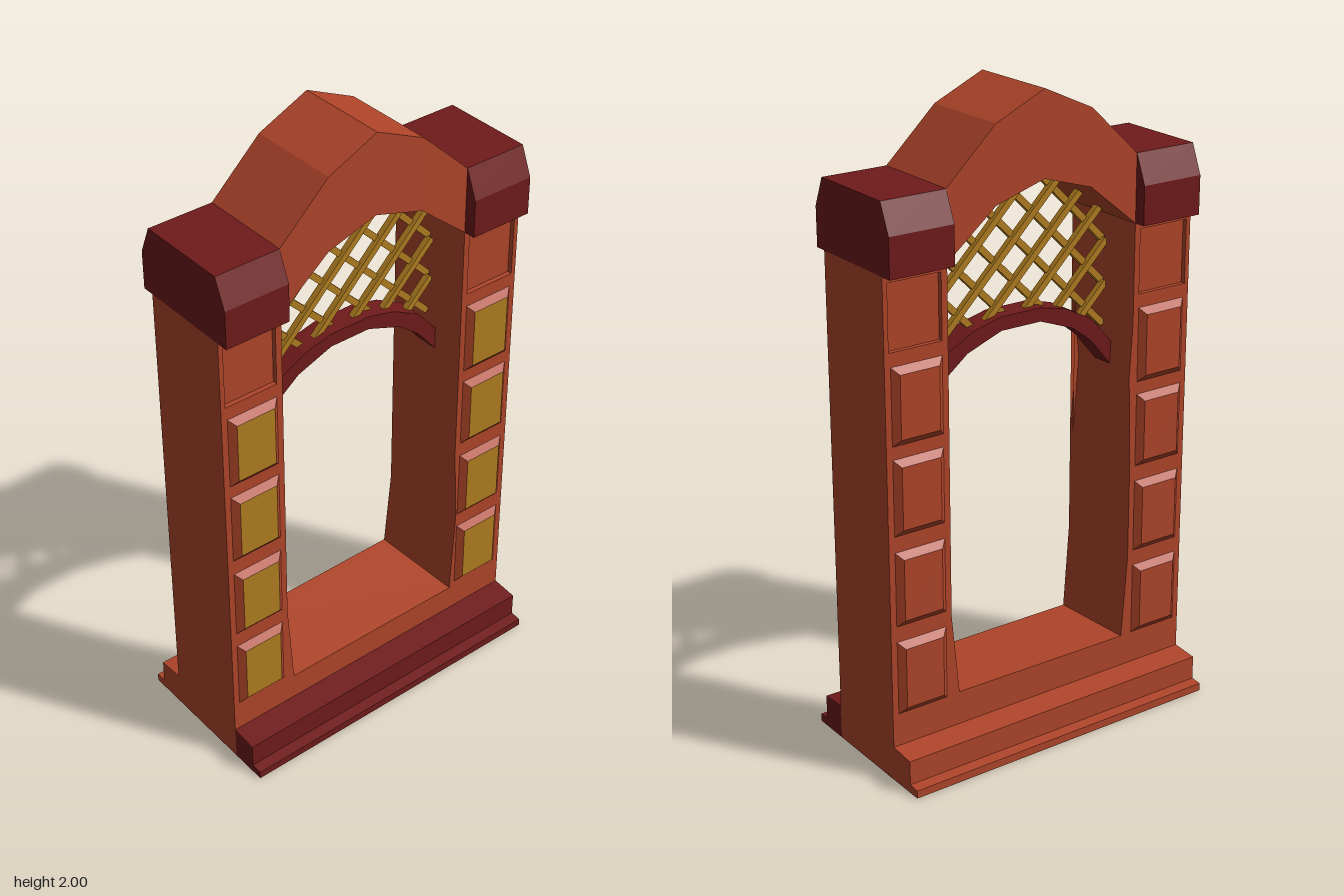
import * as THREE from 'three';

const mat = (color) => new THREE.MeshStandardMaterial({ color, flatShading: true });
const vecs = (pts) => pts.map(([x, y]) => new THREE.Vector2(x, y));

// Opening outline: x, y at the back, then x, y at the front (slightly uneven jambs)
const OPENING = [
  [-0.31, 0.215, -0.31, 0.2], [0.305, 0.22, 0.33, 0.2], [0.33, 0.48, 0.345, 0.5],
  [0.33, 0.75, 0.33, 0.75], [0.33, 1.56, 0.33, 1.56], [0.165, 1.695, 0.165, 1.695],
  [0, 1.745, 0, 1.745], [-0.165, 1.695, -0.165, 1.695], [-0.33, 1.56, -0.33, 1.56],
  [-0.33, 1.25, -0.33, 1.25], [-0.32, 1.08, -0.35, 1.06], [-0.33, 0.8, -0.33, 0.8],
  [-0.33, 0.48, -0.33, 0.48],
];
const OUTLINE = [
  [-0.54, 0], [0.54, 0], [0.54, 1.56], [0.34, 1.565], [0.33, 1.77], [0.165, 1.925],
  [0, 2], [-0.165, 1.925], [-0.33, 1.77], [-0.34, 1.565], [-0.54, 1.56],
];
// Half of the inner arch rib, from the crown outwards
const RIB_TOP = [[0.07, 1.323], [0.165, 1.3], [0.26, 1.25], [0.335, 1.165]];
const RIB_LOW = [[0.335, 1.09], [0.26, 1.18], [0.19, 1.235], [0.07, 1.28]];

// One slice of the frame between two depths
function frameSlice(z0, z1, recessed) {
  const shape = new THREE.Shape(vecs(OUTLINE));
  shape.holes.push(new THREE.Path(vecs(OPENING)));
  if (recessed) {
    for (const s of [-1, 1]) {
      const a = 0.35 * s, b = 0.525 * s;
      shape.holes.push(new THREE.Path(vecs([[a, 1.34], [b, 1.34], [b, 1.54], [a, 1.54]])));
    }
  }
  const geo = new THREE.ExtrudeGeometry(shape, { depth: z1 - z0, bevelEnabled: false });
  geo.translate(0, 0, z0);
  const p = geo.attributes.position;
  for (let i = 0; i < p.count; i++) {
    const t = (p.getZ(i) + 0.15) / 0.3;
    const o = OPENING.find(([x, y]) => Math.hypot(x - p.getX(i), y - p.getY(i)) < 1e-4);
    if (o) p.setXY(i, o[0] + (o[2] - o[0]) * t, o[1] + (o[3] - o[1]) * t);
  }
  geo.computeVertexNormals();
  return geo;
}

// Extrudes a z-y profile along x
function alongX(profile, x0, x1) {
  const shape = new THREE.Shape(vecs(profile.map(([z, y]) => [-z, y])));
  const geo = new THREE.ExtrudeGeometry(shape, { depth: x1 - x0, bevelEnabled: false });
  return geo.rotateY(Math.PI / 2).translate(x0, 0, 0);
}

// Raised pad with sloping edges
function padGeometry() {
  const geo = new THREE.BoxGeometry(0.17, 0.235, 0.017);
  const p = geo.attributes.position;
  for (let i = 0; i < p.count; i++) {
    if (p.getZ(i) > 0) p.setXY(i, p.getX(i) * 0.765, p.getY(i) * 0.82);
  }
  geo.computeVertexNormals();
  return geo;
}

// Height of a polyline at x
function heightAt(points, x) {
  for (let i = 1; i < points.length; i++) {
    const [ax, ay] = points[i - 1], [bx, by] = points[i];
    if (x <= bx) return ay + ((by - ay) * (x - ax)) / (bx - ax);
  }
  return points[points.length - 1][1];
}

export function createModel() {
  const red = mat(0xb0452a), dark = mat(0x701a1a), gold = mat(0xb07d20);
  const model = new THREE.Group();
  model.name = 'archedGateway';
  const add = (name, geo, material, parent = model) => {
    const m = new THREE.Mesh(geo, material);
    m.name = name;
    parent.add(m);
    return m;
  };

  // Frame with recessed panels at the pillar tops
  add('frameCore', frameSlice(-0.135, 0.135, false), red);
  add('frameFrontFace', frameSlice(0.135, 0.15, true), red);
  add('frameBackFace', frameSlice(-0.15, -0.135, true), red);

  // Stepped plinth mouldings and underside
  const step = [[0.15, 0], [0.272, 0], [0.272, 0.025], [0.236, 0.028], [0.236, 0.105], [0.15, 0.112]];
  add('frontPlinth', alongX(step, -0.54, 0.54), dark);
  add('backPlinth', alongX(step, -0.54, 0.54).rotateY(Math.PI), red);
  add('underside', new THREE.BoxGeometry(1.08, 0.004, 0.3).translate(0, 0.001, 0), dark).position.y = 0.001;

  // Capitals
  const cap = [[-0.188, 1.56], [0.188, 1.56], [0.188, 1.68], [0.15, 1.77], [-0.15, 1.77], [-0.188, 1.68]];
  for (const s of [-1, 1]) {
    const name = s > 0 ? 'leftCapital' : 'rightCapital';
    add(name, alongX(cap, s > 0 ? 0.33 : -0.54, s > 0 ? 0.54 : -0.33), dark);
  }

  // Pillar pads, gold-faced on the front
  const pad = padGeometry();
  const padMats = [red, red, red, red, gold, red];
  for (const s of [-1, 1]) {
    for (const y of [0.335, 0.62, 0.905, 1.18]) {
      add('frontPad', pad, padMats).position.set(0.435 * s, y, 0.1585);
      const back = add('backPad', pad, red);
      back.position.set(0.435 * s, y, -0.1585);
      back.rotation.y = Math.PI;
    }
  }

  // Inner arch rib
  const flip = (pts) => pts.map(([x, y]) => [-x, y]).reverse();
  const ribShape = new THREE.Shape(vecs([...flip(RIB_TOP), ...RIB_TOP, ...RIB_LOW, ...flip(RIB_LOW)]));
  const rib = new THREE.ExtrudeGeometry(ribShape, { depth: 0.08, bevelEnabled: false });
  add('innerArch', rib.translate(0, 0, -0.04), dark);

  // Diagonal lattice, each bar trimmed between the rib and the main arch
  const lattice = new THREE.Group();
  lattice.name = 'lattice';
  model.add(lattice);
  const crown = [[0, 1.75], [0.165, 1.7], [0.33, 1.565]];
  const lower = [[0, 1.315], ...RIB_TOP.map(([x, y]) => [x, y - 0.01])];
  const inside = (x, y) => y < heightAt(crown, Math.abs(x)) && y > heightAt(lower, Math.abs(x));
  for (const s of [-1, 1]) {
    for (let k = 0; k < 9; k++) {
      const c = 1.015 + k * 0.132;
      const xs = [];
      for (let x = -0.332; x <= 0.332; x += 0.004) if (inside(x, s * x + c)) xs.push(x);
      if (xs.length < 6) continue;
      const a = xs[0], b = xs[xs.length - 1];
      const bar = add('latticeBar', new THREE.BoxGeometry((b - a) * Math.SQRT2, 0.02, 0.02), gold, lattice);
      bar.position.set((a + b) / 2, (s * (a + b)) / 2 + c, s * 0.006);
      bar.rotation.z = (s * Math.PI) / 4;
    }
  }
  return model;
}
